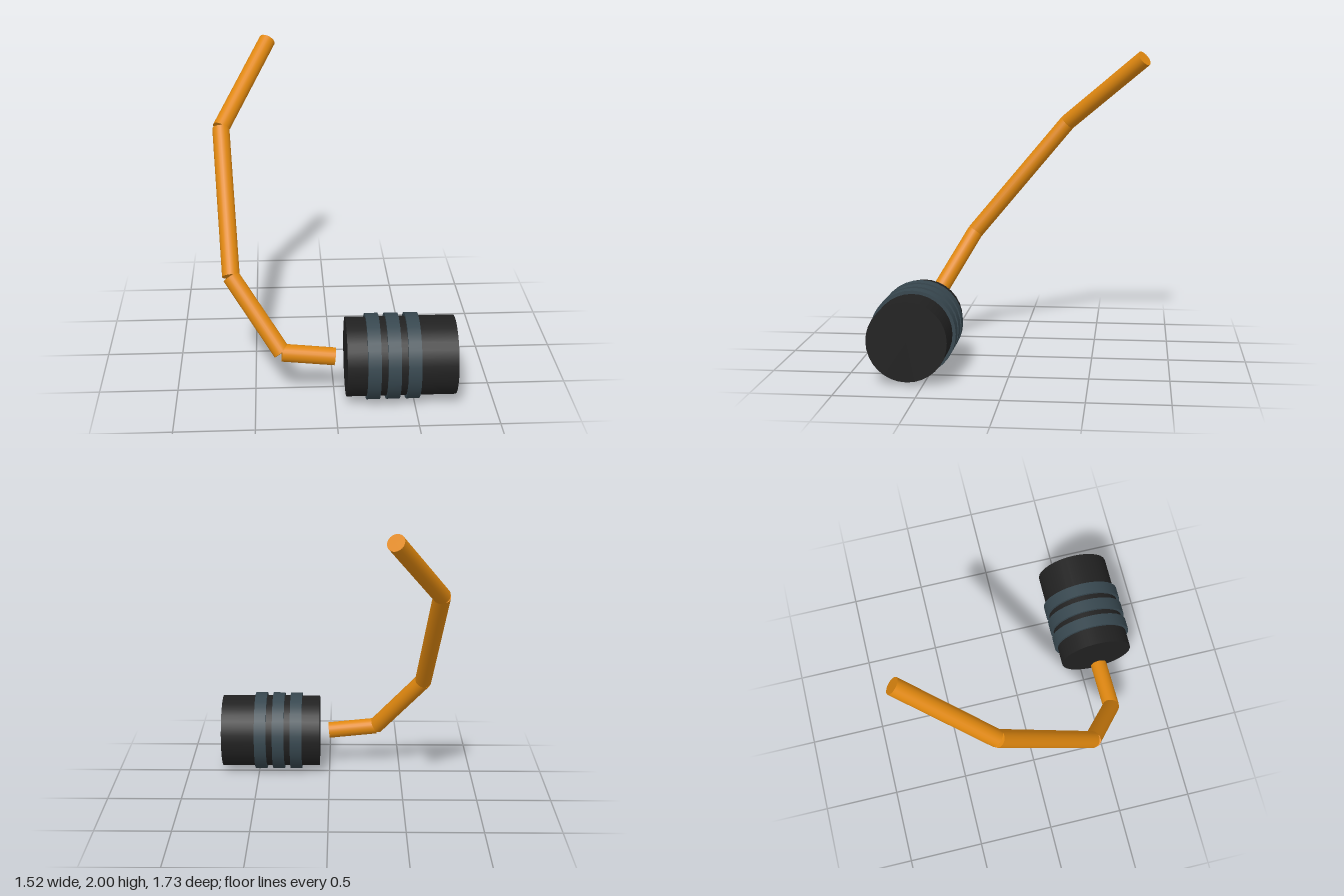
import * as THREE from 'three';

const mat = (name, color) => {
  const m = new THREE.MeshStandardMaterial({ color });
  m.name = name;
  return m;
};

export function createModel() {
  const group = new THREE.Group();
  const black = mat('black', 0x212121);
  const slate = mat('slate grey', 0x37474f);
  const orange = mat('orange', 0xdf870f);

  // Cylinder running from point a to point b
  const rod = (name, a, b, radius, material, sides) => {
    const dir = b.clone().sub(a);
    const mesh = new THREE.Mesh(
      new THREE.CylinderGeometry(radius, radius, dir.length(), sides), material);
    mesh.position.copy(a).add(b).multiplyScalar(0.5);
    mesh.quaternion.setFromUnitVectors(new THREE.Vector3(0, 1, 0), dir.normalize());
    mesh.name = name;
    group.add(mesh);
  };

  // Drum lying along x, with three raised bands
  const onAxis = x => new THREE.Vector3(x, 0.272, 0.597);
  rod('drum', onAxis(0.07), onAxis(0.757), 0.25, black, 32);
  [0.236, 0.36, 0.485].forEach((x, i) =>
    rod('band' + (i + 1), onAxis(x - 0.041), onAxis(x + 0.041), 0.271, slate, 32));

  // Bent cable made of straight pieces
  const path = [
    [0.004, 0.274, 0.597], [-0.328, 0.309, 0.597], [-0.643, 0.73, 0.355],
    [-0.703, 1.505, -0.293], [-0.39, 1.957, -0.822],
  ].map(p => new THREE.Vector3(...p));
  for (let i = 0; i < path.length - 1; i++) {
    rod('cable' + (i + 1), path[i], path[i + 1], 0.056, orange, 24);
  }
  return group;
}
